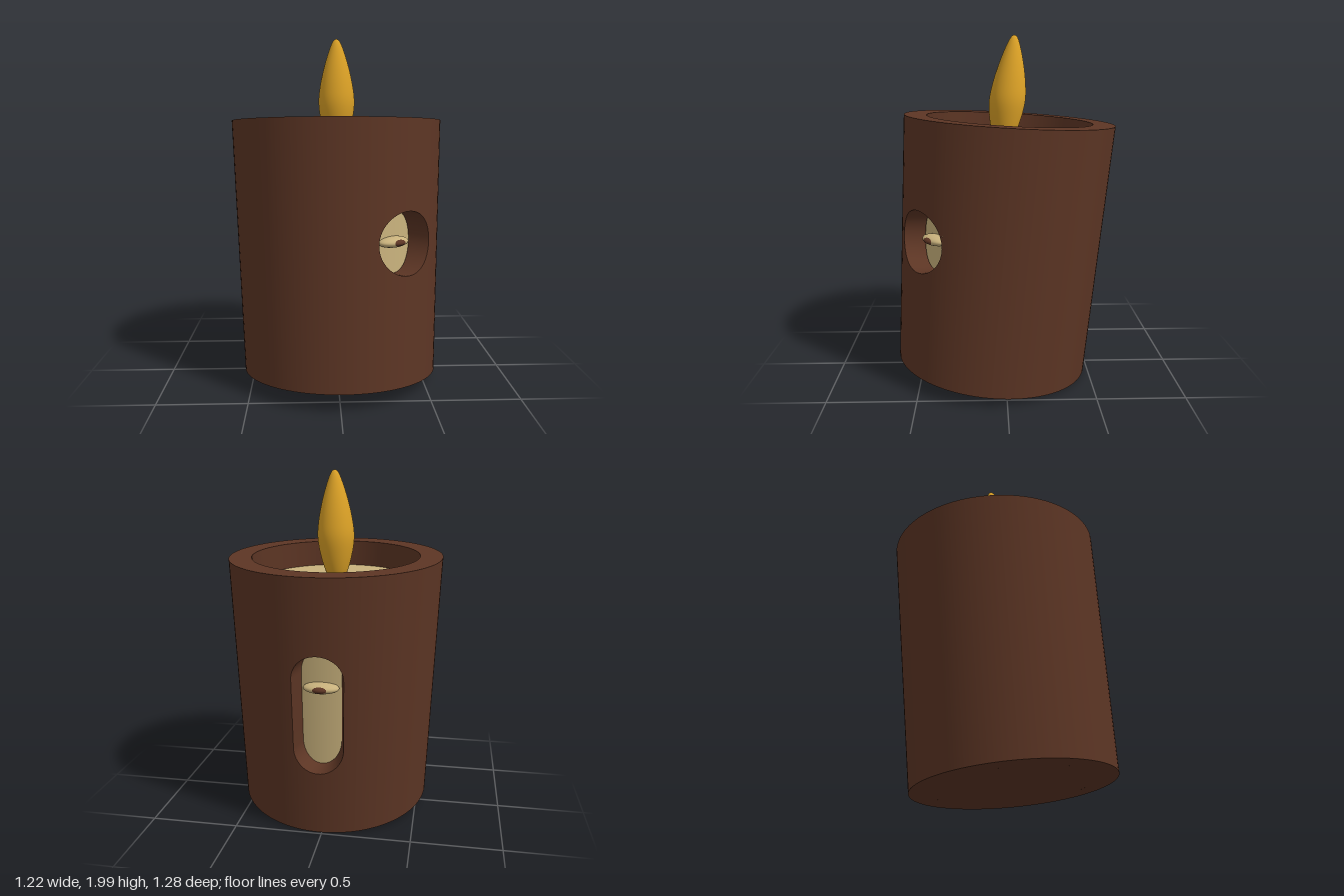
import * as THREE from 'three';
import { toCreasedNormals } from 'three/addons/utils/BufferGeometryUtils.js';

const material = (name, color, extra = {}) => new THREE.MeshStandardMaterial({ name, color, ...extra });

// Leaning, slightly tapered body: unit disc coordinates (x, z) at height fraction v.
function place(x, z, v) {
  const mix = (a, b) => a + (b - a) * v;
  const r = mix(0.565, 0.61);
  return new THREE.Vector3(
    mix(0.015, -0.0025) + r * x,
    mix(0.0625, 1.525) + r * z * mix(0.093, 0.057),
    mix(0.08, -0.03) + r * z);
}

const onWall = (theta, v, ratio) => place(Math.sin(theta) * ratio, Math.cos(theta) * ratio, v);

// Openings in the wall: centre angle and height, half width, round end and straight half height
const holes = [
  { theta: 0.66, v: 0.54, half: 0.325, round: 0.12, straight: 0 },
  { theta: Math.PI, v: 0.487, half: 0.24, round: 0.095, straight: 0.137 },
];
const INNER = 0.79;

// Thick tube made of narrow columns; columns crossing an opening are split in two.
function wallGeometry() {
  const pos = [];
  const quad = (a, b, c, d) => [a, b, c, a, c, d].forEach(p => pos.push(p.x, p.y, p.z));

  function piece(a, b, lowA, lowB, highA, highB) {
    const o = [onWall(a, lowA, 1), onWall(b, lowB, 1), onWall(b, highB, 1), onWall(a, highA, 1)];
    const i = [onWall(a, lowA, INNER), onWall(b, lowB, INNER), onWall(b, highB, INNER), onWall(a, highA, INNER)];
    quad(o[0], o[1], o[2], o[3]);
    quad(i[1], i[0], i[3], i[2]);
    quad(o[3], o[2], i[2], i[3]);
    quad(o[1], o[0], i[0], i[1]);
  }

  holes.forEach((h, k) => {
    // Columns through the opening
    const n = 28;
    const edge = j => {
      const s = -Math.cos(Math.PI * j / n);
      const rise = h.straight + h.round * Math.sin(Math.PI * j / n);
      return { t: h.theta + h.half * s, low: h.v - rise, high: h.v + rise };
    };
    for (let j = 0; j < n; j++) {
      const a = edge(j), b = edge(j + 1);
      piece(a.t, b.t, 0, 0, a.low, b.low);
      piece(a.t, b.t, a.high, b.high, 1, 1);
    }
    // Straight sides of the opening
    if (h.straight > 0) {
      const side = e => [onWall(e.t, e.low, 1), onWall(e.t, e.low, INNER), onWall(e.t, e.high, INNER), onWall(e.t, e.high, 1)];
      quad(...side(edge(0)));
      quad(...side(edge(n)).reverse());
    }
    // Plain columns up to the next opening
    const next = holes[(k + 1) % holes.length];
    const start = h.theta + h.half;
    const end = next.theta - next.half + (k === holes.length - 1 ? 2 * Math.PI : 0);
    const count = Math.ceil((end - start) / 0.07);
    const at = j => start + (end - start) * j / count;
    for (let j = 0; j < count; j++) piece(at(j), at(j + 1), 0, 0, 1, 1);
  });

  const geo = new THREE.BufferGeometry();
  geo.setAttribute('position', new THREE.Float32BufferAttribute(pos, 3));
  return toCreasedNormals(geo, 0.6);
}

// Solid plug following the lean of the body
function plugGeometry(ratio, v0, v1) {
  const geo = new THREE.CylinderGeometry(ratio, ratio, 1, 96);
  const p = geo.attributes.position;
  for (let i = 0; i < p.count; i++) {
    const q = place(p.getX(i), p.getZ(i), p.getY(i) < 0 ? v0 : v1);
    p.setXYZ(i, q.x, q.y, q.z);
  }
  return toCreasedNormals(geo, 0.6);
}

// Flame: teardrop whose axis leans back with height
function flameGeometry() {
  const outline = new THREE.SplineCurve([
    [0, 1.365], [0.035, 1.375], [0.065, 1.43], [0.092, 1.53], [0.105, 1.63],
    [0.095, 1.73], [0.071, 1.84], [0.04, 1.94], [0.018, 1.988], [0, 2],
  ].map(([x, y]) => new THREE.Vector2(x, y)));
  const points = outline.getPoints(45).map(p => p.setX(Math.max(0, p.x)));
  const geo = new THREE.LatheGeometry(points, 48);
  const p = geo.attributes.position;
  for (let i = 0; i < p.count; i++) p.setZ(i, p.getZ(i) + 0.165 - 0.11 * p.getY(i));
  return geo;
}

export function createModel() {
  const brown = material('brown shell', 0x5c3524);
  const cream = material('cream wax', 0xc8b17c);
  const amber = material('amber flame', 0xdba126);

  const model = new THREE.Group();
  model.name = 'candle';
  const add = (name, geo, mat, parent = model) => {
    const mesh = new THREE.Mesh(geo, mat);
    mesh.name = name;
    parent.add(mesh);
    return mesh;
  };

  add('shell', wallGeometry(), brown);
  add('shellBottom', plugGeometry(INNER, 0, 0.02), brown);
  add('wax', plugGeometry(0.782, 0.02, 0.895), cream);
  add('flame', flameGeometry(), amber);

  // Small bead with a dark centre inside each opening
  const ball = new THREE.SphereGeometry(1, 32, 20);
  holes.forEach((h, k) => {
    const bead = new THREE.Group();
    bead.name = k ? 'backBead' : 'frontBead';
    bead.position.copy(onWall(h.theta, k ? 0.57 : 0.54, 0.8));
    bead.rotation.y = h.theta;
    add('beadRim', ball, cream, bead).scale.set(0.1, 0.03, 0.06);
    const centre = add('beadCentre', ball, brown, bead);
    centre.scale.set(0.058, 0.022, 0.045);
    centre.position.z = 0.022;
    model.add(bead);
  });

  return model;
}
